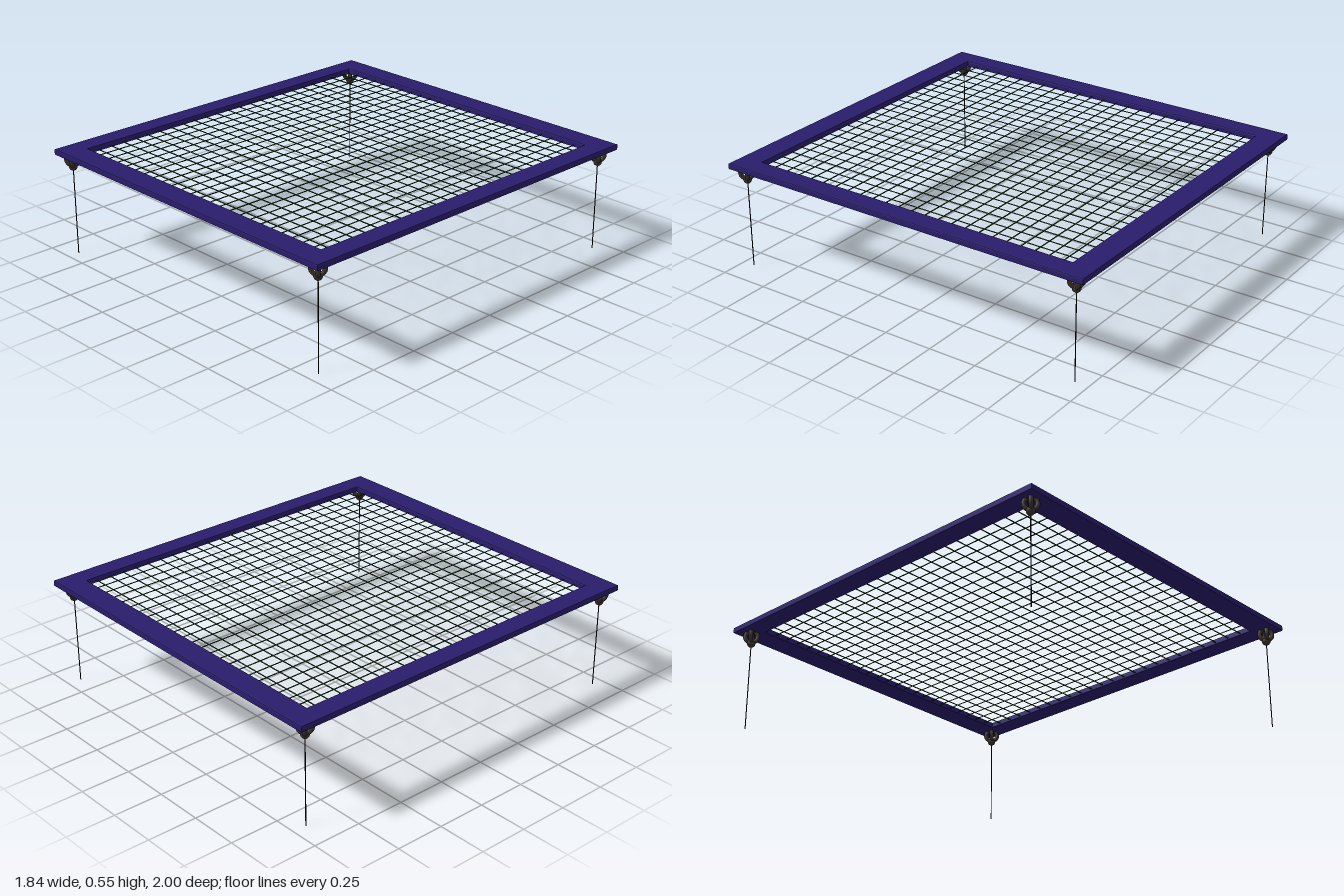
import * as THREE from 'three';

const paint = (color) => new THREE.MeshStandardMaterial({ color });

export function createModel() {
  const model = new THREE.Group();
  const frameMat = paint(0x291d6c), wireMat = paint(0x0c3a16);
  const hookMat = paint(0x3a322b), rodMat = paint(0x0a0a0a);

  const add = (parent, name, geometry, material, x, y, z) => {
    const mesh = new THREE.Mesh(geometry, material);
    mesh.name = name;
    mesh.position.set(x, y, z);
    parent.add(mesh);
    return mesh;
  };

  // Flat rectangular frame with slightly softened edges
  const bevel = 0.005, w = 0.92 - bevel, d = 1 - bevel;
  const iw = 0.815 + bevel, id = 0.88 + bevel;
  const outline = new THREE.Shape([[-w, -d], [w, -d], [w, d], [-w, d]].map(p => new THREE.Vector2(...p)));
  outline.holes.push(new THREE.Path([[-iw, -id], [-iw, id], [iw, id], [iw, -id]].map(p => new THREE.Vector2(...p))));
  const frameGeo = new THREE.ExtrudeGeometry(outline, {
    depth: 0.021, bevelEnabled: true, bevelThickness: bevel, bevelSize: bevel, bevelSegments: 2,
  });
  frameGeo.rotateX(-Math.PI / 2);
  add(model, 'frame', frameGeo, frameMat, 0, 0.517 + bevel, 0);

  // Woven wire net stretched inside the frame
  const net = new THREE.Group();
  net.name = 'net';
  const wire = 0.0028, netY = 0.527;
  const longWire = new THREE.CylinderGeometry(wire, wire, 1.8, 6).rotateX(Math.PI / 2);
  const crossWire = new THREE.CylinderGeometry(wire, wire, 1.66, 6).rotateZ(Math.PI / 2);
  for (let i = -11; i <= 11; i++) {
    add(net, 'longWire', longWire, wireMat, i * 0.068, netY, 0);
    add(net, 'crossWire', crossWire, wireMat, 0, netY, i * 0.0745);
  }
  model.add(net);

  // Corner supports: two crossed rings on a rounded hub with a thin rod below
  const ring = new THREE.TorusGeometry(0.031, 0.011, 10, 28);
  const hub = new THREE.SphereGeometry(0.021, 16, 12);
  const rod = new THREE.CylinderGeometry(0.0025, 0.0025, 0.45, 8);
  for (const x of [-0.86, 0.86]) {
    for (const z of [-0.93, 0.94]) {
      const support = new THREE.Group();
      support.name = 'cornerSupport';
      support.position.set(x, 0, z);
      for (const turn of [-1, 1]) {
        add(support, 'ring', ring, hookMat, 0, 0.495, 0).rotation.y = turn * Math.PI / 4;
      }
      add(support, 'hub', hub, hookMat, 0, 0.459, 0);
      add(support, 'rod', rod, rodMat, 0, 0.225, 0);
      model.add(support);
    }
  }
  return model;
}
